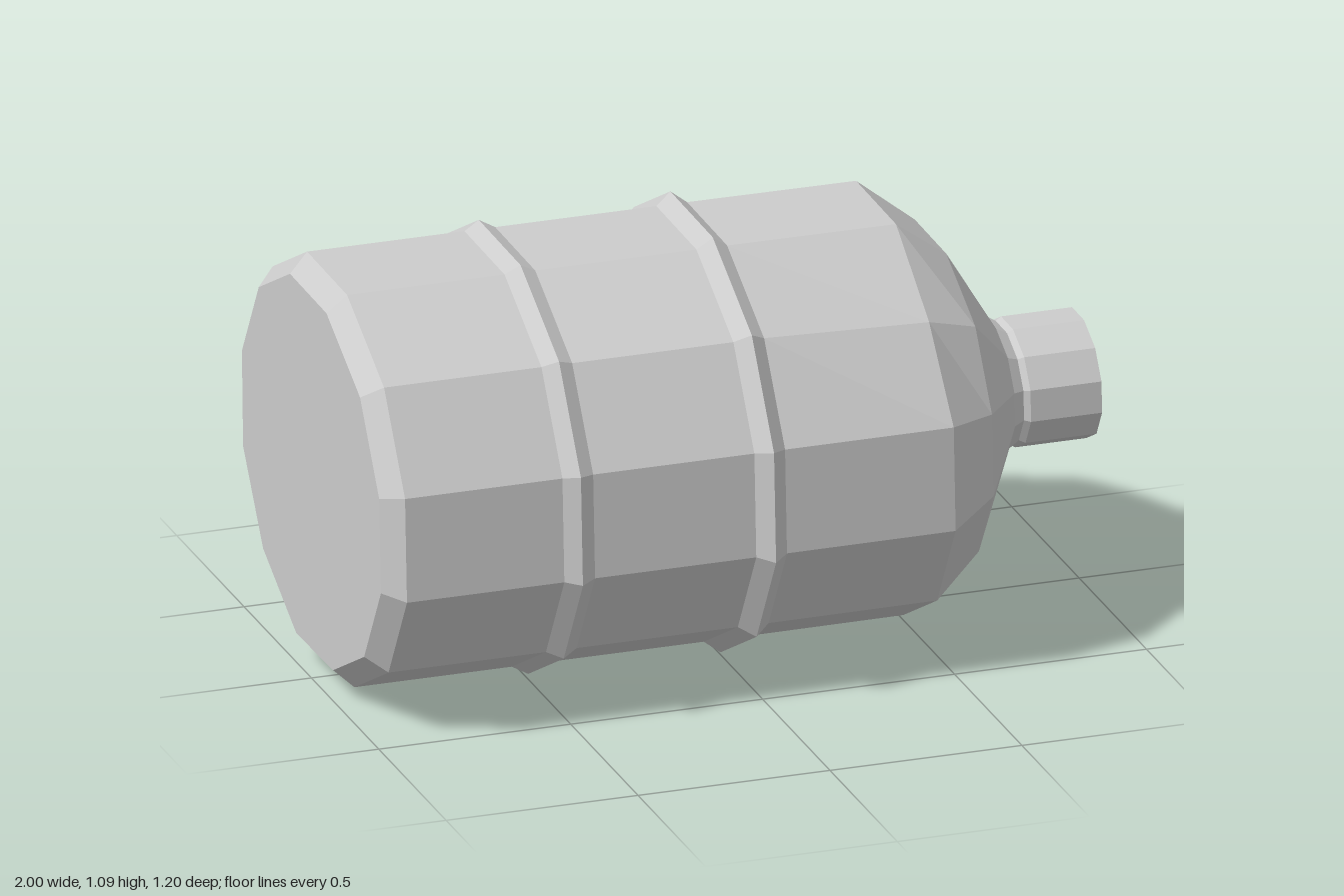
import * as THREE from 'three';

// Slightly lopsided twelve-sided cross-section, as [z, y] about the axis
const SECTION = [
  [0.585, 0.14], [0.42, 0.39], [0.13, 0.54], [-0.185, 0.543], [-0.455, 0.4], [-0.6, 0.15],
  [-0.59, -0.14], [-0.417, -0.39], [-0.13, -0.543], [0.187, -0.537], [0.455, -0.395], [0.6, -0.145],
];
const AXIS_Y = 0.543;

// One ring of corners at position x; dent pulls a single corner inwards
function ring(x, scale, dent = 0) {
  return SECTION.map(([z, y], j) => {
    const s = scale - (j === 1 ? dent : 0);
    return [x, AXIS_Y + y * s, z * s];
  });
}

// Skin a list of rings, optionally closing either end
function loft(name, rings, material, capStart = false, capEnd = false) {
  const pos = [];
  const n = SECTION.length;
  const tri = (a, b, c) => pos.push(...a, ...b, ...c);
  for (let j = 0; j < n; j++) {
    const k = (j + 1) % n;
    for (let i = 0; i < rings.length - 1; i++) {
      const p = rings[i], q = rings[i + 1];
      tri(p[j], q[j], p[k]);
      tri(p[k], q[j], q[k]);
    }
    const first = rings[0], last = rings[rings.length - 1];
    if (capStart) tri([first[0][0], AXIS_Y, 0], first[j], first[k]);
    if (capEnd) tri([last[0][0], AXIS_Y, 0], last[k], last[j]);
  }
  const geometry = new THREE.BufferGeometry();
  geometry.setAttribute('position', new THREE.Float32BufferAttribute(pos, 3));
  geometry.computeVertexNormals();
  const mesh = new THREE.Mesh(geometry, material);
  mesh.name = name;
  return mesh;
}

export function createModel() {
  const grey = new THREE.MeshStandardMaterial({ color: 0xcccccc });
  const group = new THREE.Group();
  group.name = 'bottle';
  const body = 0.945;

  // Bevelled base and the straight wall between the ribs
  group.add(loft('base', [ring(-1, 0.86), ring(-0.95, body), ring(-0.54, body)], grey, true));
  group.add(loft('middleWall', [ring(-0.46, body), ring(-0.04, body)], grey));

  // Two raised ribs
  for (const [name, x, peak] of [['rearRib', -0.5, 0.985], ['frontRib', 0, 1]]) {
    group.add(loft(name, [ring(x - 0.04, body), ring(x, peak), ring(x + 0.04, body)], grey));
  }

  // Upper wall with a small dent, then the tapering shoulder
  group.add(loft('upperWall', [ring(0.04, body), ring(0.48, 0.942, 0.065)], grey));
  group.add(loft('shoulder', [
    ring(0.48, 0.942, 0.065), ring(0.62, 0.745), ring(0.77, 0.3), ring(0.8, 0.268),
  ], grey));

  // Closed spout
  group.add(loft('spout', [ring(0.8, 0.268), ring(0.815, 0.284), ring(1, 0.284)], grey, false, true));
  return group;
}
